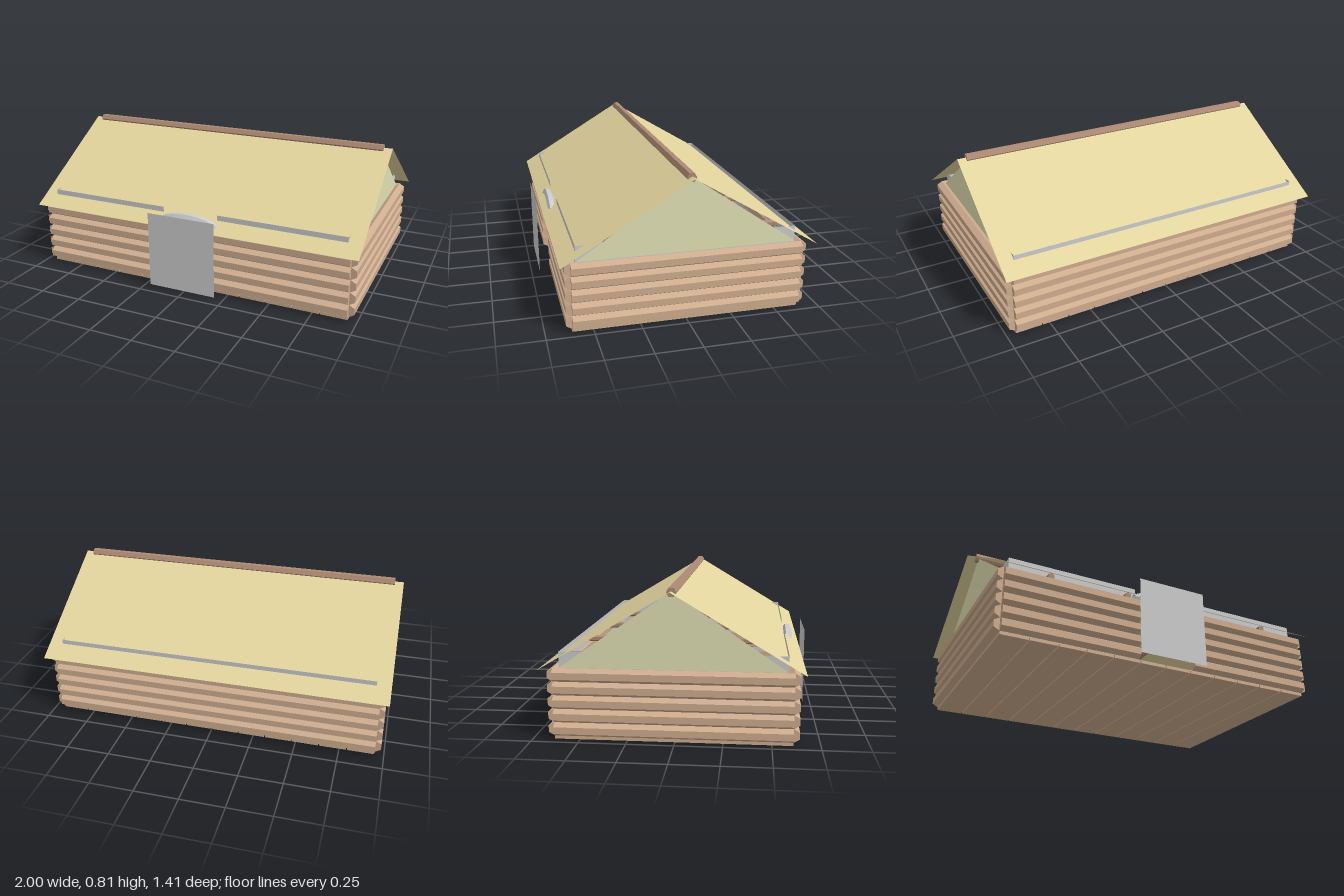
import * as THREE from 'three';

export function createModel() {
  const model = new THREE.Group();
  const paint = (color) => new THREE.MeshStandardMaterial({ color, flatShading: true, side: THREE.DoubleSide });
  const wood = paint(0xceac8e);
  const darkWood = paint(0xad8a74);
  const thatch = paint(0xe2d49d);
  const gablePaint = paint(0xe1e0b4);
  const grey = paint(0xcccccc);

  const FRONT = 0.61, BACK = -0.635, SIDE = 0.95, MID = (FRONT + BACK) / 2;
  const INNER_FRONT = 0.58, INNER_BACK = -0.61, INNER_SIDE = 0.92;

  function add(name, geometry, material, x = 0, y = 0, z = 0, turn = 0, parent = model) {
    const mesh = new THREE.Mesh(geometry, material);
    mesh.name = name;
    mesh.position.set(x, y, z);
    mesh.rotation.y = turn;
    parent.add(mesh);
    return mesh;
  }

  // Hexagonal log lying along x, with a corner or a flat on top
  function logShape(radius, length, cornerUp = true) {
    const g = new THREE.CylinderGeometry(radius, radius, length, 6);
    if (cornerUp) g.rotateY(Math.PI / 6);
    return g.rotateZ(Math.PI / 2);
  }

  // Log walls, with a doorway in the front
  const walls = new THREE.Group();
  walls.name = 'logWalls';
  model.add(walls);
  const R = 0.0365, DOOR = 0.17;
  const backLog = logShape(R, 2 * SIDE);
  const sideLog = logShape(R, FRONT - BACK);
  const frontLog = logShape(R, SIDE - DOOR);
  for (let i = 0; i < 5; i++) {
    const y = 0.055 + i * 0.073;
    add('backLog', backLog, wood, 0, y, BACK, 0, walls);
    for (const s of [-1, 1]) {
      add('frontLog', frontLog, wood, s * (SIDE + DOOR) / 2, y, FRONT, 0, walls);
      add('sideLog', sideLog, wood, s * SIDE, y, MID, Math.PI / 2, walls);
    }
  }

  // Floor planks
  const plankWidth = 2 * SIDE / 12;
  const plank = new THREE.BoxGeometry(plankWidth - 0.006, 0.018, FRONT - BACK);
  for (let i = 0; i < 12; i++) {
    add('floorPlank', plank, wood, -SIDE + (i + 0.5) * plankWidth, 0.009, MID);
  }

  // Thin inner walls that rise just past the roof slope
  const low = 0.018, high = 0.463, wallHeight = high - low, wallY = (high + low) / 2;
  add('innerBackWall', new THREE.PlaneGeometry(2 * INNER_SIDE, wallHeight), grey, 0, wallY, INNER_BACK);
  for (const s of [-1, 1]) {
    add('innerFrontWall', new THREE.PlaneGeometry(INNER_SIDE - DOOR, wallHeight), grey,
      s * (INNER_SIDE + DOOR) / 2, wallY, INNER_FRONT);
    add('innerSideWall', new THREE.PlaneGeometry(INNER_FRONT - INNER_BACK, wallHeight), grey,
      s * INNER_SIDE, wallY, (INNER_FRONT + INNER_BACK) / 2, Math.PI / 2);
  }

  // Cross beams under the roof
  const beam = logShape(0.02, FRONT - BACK);
  for (let i = 0; i < 4; i++) {
    add('crossBeam', beam, darkWood, -0.69 + i * 0.46, 0.396, MID, Math.PI / 2);
  }

  // Two roof slopes meeting at the ridge
  const RIDGE_Y = 0.79, RIDGE_Z = -0.017, EAVE_Y = 0.38;
  function slope(name, eaveZ) {
    const g = new THREE.PlaneGeometry(2, 1);
    const p = g.attributes.position;
    for (let i = 0; i < p.count; i++) {
      const top = p.getY(i) > 0;
      p.setXYZ(i, p.getX(i), top ? RIDGE_Y : EAVE_Y, top ? RIDGE_Z : eaveZ);
    }
    // keep the outer face pointing up
    if (eaveZ < RIDGE_Z) g.setIndex([0, 1, 2, 2, 1, 3]);
    g.computeVertexNormals();
    add(name, g, thatch);
  }
  slope('frontRoof', 0.668);
  slope('backRoof', -0.706);

  // Triangular gables
  const triangle = new THREE.Shape([
    new THREE.Vector2(-INNER_FRONT, EAVE_Y),
    new THREE.Vector2(-INNER_BACK, EAVE_Y),
    new THREE.Vector2(-RIDGE_Z, RIDGE_Y - 0.005),
  ]);
  for (const s of [-1, 1]) {
    add('gable', new THREE.ShapeGeometry(triangle), gablePaint, s * 0.932, 0, 0, Math.PI / 2);
  }

  // Ridge pole
  add('ridgePole', logShape(0.027, 1.9, false), darkWood, 0, 0.784, -0.015);

  // Arched lintel over the doorway
  const arch = new THREE.CatmullRomCurve3([
    [-0.19, 0.385], [-0.1, 0.42], [0, 0.431], [0.1, 0.42], [0.19, 0.385],
  ].map(([x, y]) => new THREE.Vector3(x, y, 0.608)));
  add('doorArch', new THREE.TubeGeometry(arch, 10, 0.026, 6), grey);

  // Door sheet hanging in front of the doorway
  add('door', new THREE.PlaneGeometry(0.41, wallHeight), grey, 0, wallY, 0.703);

  return model;
}
